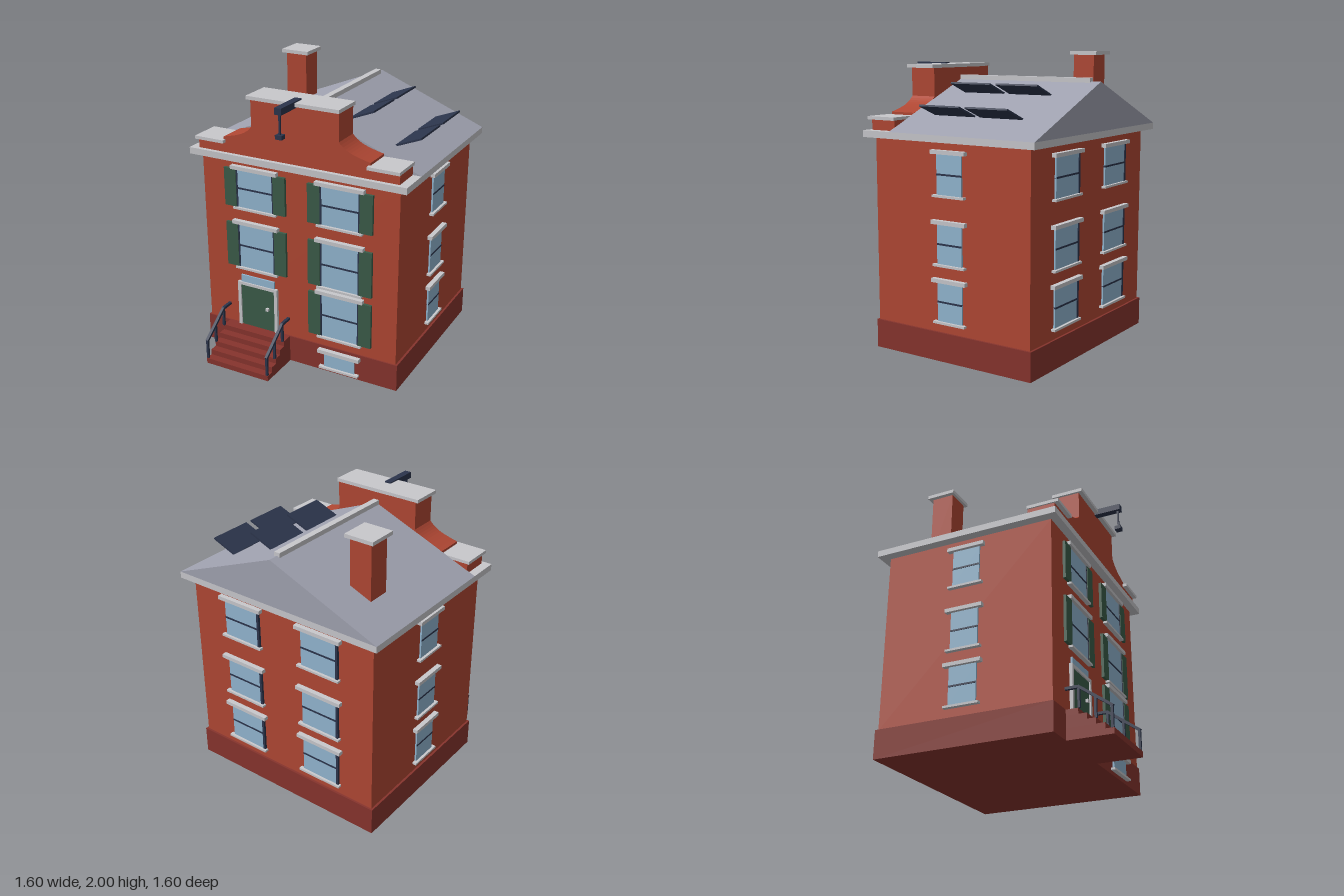
import * as THREE from 'three';

const mat = (name, color) => {
  const m = new THREE.MeshStandardMaterial({ color });
  m.name = name;
  return m;
};

export function createModel() {
  const brick = mat('brick', 0xb04733);
  const plinthRed = mat('dark brick', 0x87342d);
  const stone = mat('pale stone', 0xc8c8cc);
  const slate = mat('roof slate', 0xa0a2b0);
  const navy = mat('dark metal', 0x2c354c);
  const glass = mat('window glass', 0x92b6d0);
  const green = mat('green paint', 0x3b5c49);

  const model = new THREE.Group();
  model.name = 'townHouse';

  const group = (name, parent = model) => {
    const g = new THREE.Group();
    g.name = name;
    parent.add(g);
    return g;
  };
  const mesh = (name, geo, material, parent = model) => {
    const m = new THREE.Mesh(geo, material);
    m.name = name;
    parent.add(m);
    return m;
  };
  // Box given by its extents on each axis
  const box = (name, material, [x0, x1], [y0, y1], [z0, z1], parent = model) => {
    const m = mesh(name, new THREE.BoxGeometry(x1 - x0, y1 - y0, z1 - z0), material, parent);
    m.position.set((x0 + x1) / 2, (y0 + y1) / 2, (z0 + z1) / 2);
    return m;
  };
  const extrude = (shape, depth, z) => {
    const g = new THREE.ExtrudeGeometry(shape, { depth, bevelEnabled: false, curveSegments: 10 });
    g.translate(0, 0, z);
    return g;
  };

  // Walls
  box('plinth', plinthRed, [-0.75, 0.75], [0, 0.195], [-0.75, 0.49]);
  box('walls', brick, [-0.735, 0.735], [0.195, 1.445], [-0.735, 0.48]);
  box('cornice', stone, [-0.8, 0.8], [1.445, 1.49], [-0.8, 0.538]);

  // Roof and ridge
  const gable = new THREE.Shape([[-0.8, 1.49], [0.8, 1.49], [0, 1.812]].map(p => new THREE.Vector2(...p)));
  mesh('roof', extrude(gable, 1.115, -0.8), slate);
  box('ridge', stone, [-0.022, 0.022], [1.795, 1.835], [-0.73, 0.315]);

  // Front parapet with concave shoulders
  const p = new THREE.Shape();
  p.moveTo(-0.74, 1.49);
  p.lineTo(0.74, 1.49);
  p.lineTo(0.74, 1.56);
  p.lineTo(0.54, 1.56);
  p.lineTo(0.54, 1.597);
  p.bezierCurveTo(0.42, 1.625, 0.37, 1.64, 0.32, 1.695);
  p.lineTo(0.32, 1.89);
  p.lineTo(-0.32, 1.89);
  p.lineTo(-0.32, 1.695);
  p.bezierCurveTo(-0.37, 1.64, -0.42, 1.625, -0.54, 1.597);
  p.lineTo(-0.54, 1.56);
  p.lineTo(-0.74, 1.56);
  mesh('parapet', extrude(p, 0.195, 0.313), brick);
  box('parapetTopCap', stone, [-0.336, 0.336], [1.888, 1.912], [0.313, 0.538]);
  box('parapetLeftCap', stone, [0.527, 0.75], [1.558, 1.58], [0.313, 0.538]);
  box('parapetRightCap', stone, [-0.75, -0.527], [1.558, 1.58], [0.313, 0.538]);

  // Chimney
  box('chimney', brick, [-0.56, -0.402], [1.5, 1.976], [-0.525, -0.366]);
  box('chimneyCap', stone, [-0.588, -0.38], [1.975, 2], [-0.553, -0.346]);

  // Hoist beam, rope and hook
  const hoist = group('hoist');
  box('hoistBeam', navy, [-0.024, 0.024], [1.876, 1.92], [0.445, 0.7], hoist);
  box('hoistRope', navy, [-0.006, 0.006], [1.74, 1.88], [0.672, 0.684], hoist);
  box('hoistHook', navy, [-0.024, 0.024], [1.717, 1.745], [0.656, 0.7], hoist);

  // Solar panels, tilted up toward the eaves
  const panels = group('solarPanels');
  for (const [x, y] of [[0.289, 1.76], [0.626, 1.629]]) {
    for (const z of [-0.393, -0.03]) {
      const m = mesh('solarPanel', new THREE.BoxGeometry(0.19, 0.012, 0.317), navy, panels);
      m.position.set(x, y, z);
      m.rotation.z = 0.38;
    }
  }

  // Window in its own frame: wall plane at z = 0, facing +z
  const addWindow = (name, { x = 0, z = 0, turn = 0, w, y0, y1, lintel = 0.355, sill = 0.335,
    out = 0.03, bar = true, jambs = [], shutters = false }) => {
    const g = group(name);
    g.position.set(x, 0, z);
    g.rotation.y = turn;
    box('pane', glass, [-w / 2, w / 2], [y0, y1], [-0.01, 0.012], g);
    const mid = (y0 + y1) / 2;
    if (bar) box('glazingBar', navy, [-w / 2, w / 2], [mid - 0.006, mid + 0.006], [-0.01, 0.015], g);
    box('lintel', stone, [-lintel / 2, lintel / 2], [y1, y1 + 0.026], [-0.01, out + 0.004], g);
    box('sill', stone, [-sill / 2, sill / 2], [y0 - 0.015, y0], [-0.01, out], g);
    for (const s of jambs) {
      const c = s * (w / 2 + 0.005);
      box('jamb', navy, [c - 0.009, c + 0.009], [y0, y1], [-0.01, 0.016], g);
    }
    if (shutters) {
      for (const s of [-1, 1]) {
        const c = s * 0.19;
        box('shutter', green, [c - 0.046, c + 0.046], [y0, y1], [-0.01, 0.02], g);
      }
    }
  };

  // Front windows with shutters
  const front = { z: 0.48, w: 0.276, jambs: [-1, 1], shutters: true };
  for (const [x, y0, y1] of [
    [-0.32, 1.105, 1.378], [0.32, 1.105, 1.378],
    [-0.32, 0.655, 0.98], [0.32, 0.655, 0.98], [0.32, 0.275, 0.598],
  ]) addWindow('frontWindow', { ...front, x, y0, y1 });
  addWindow('basementWindow', { x: 0.322, z: 0.49, w: 0.232, y0: 0.042, y1: 0.149,
    lintel: 0.316, sill: 0.3, bar: false });

  // Side and back windows
  for (const [y0, y1] of [[1.105, 1.367], [0.653, 0.915], [0.272, 0.532]]) {
    for (const s of [-1, 1]) {
      addWindow('sideWindow', { x: s * 0.735, z: -0.13, turn: s * Math.PI / 2, w: 0.196, y0, y1,
        lintel: 0.268, sill: 0.25 });
      addWindow('backWindow', { x: s * 0.32, z: -0.735, turn: Math.PI, w: 0.28, y0, y1, jambs: [1] });
    }
  }

  // Front door
  const door = group('frontDoor');
  door.position.set(-0.322, 0, 0.48);
  box('doorLeaf', green, [-0.135, 0.135], [0.195, 0.515], [-0.01, 0.012], door);
  for (const s of [-1, 1]) {
    box('doorJamb', stone, [s * 0.147 - 0.012, s * 0.147 + 0.012], [0.195, 0.535], [-0.01, 0.022], door);
  }
  box('doorHead', stone, [-0.159, 0.159], [0.514, 0.535], [-0.01, 0.022], door);
  box('transom', glass, [-0.134, 0.134], [0.535, 0.588], [-0.01, 0.012], door);
  box('doorKnob', stone, [0.07, 0.091], [0.354, 0.375], [0, 0.03], door);

  // Front steps
  const steps = group('frontSteps');
  for (let i = 0; i < 5; i++) {
    box('step', plinthRed, [-0.57, -0.07], [i * 0.039, (i + 1) * 0.039], [0.48, 0.795 - i * 0.056], steps);
  }

  // Handrails on both sides of the steps
  for (const x of [-0.564, -0.081]) {
    const rail = group('handrail');
    for (const [z, y0, y1] of [[0.784, 0.039, 0.182], [0.681, 0.115, 0.255], [0.575, 0.195, 0.33]]) {
      box('post', navy, [x - 0.008, x + 0.008], [y0, y1], [z - 0.008, z + 0.008], rail);
    }
    box('landingRail', navy, [x - 0.01, x + 0.01], [0.322, 0.34], [0.485, 0.58], rail);
    const dy = 0.153, dz = 0.212;
    const slope = mesh('slopingRail', new THREE.BoxGeometry(0.02, 0.018, Math.hypot(dy, dz) + 0.01), navy, rail);
    slope.position.set(x, 0.331 - dy / 2, 0.575 + dz / 2);
    slope.rotation.x = Math.atan2(dy, dz);
  }

  return model;
}
